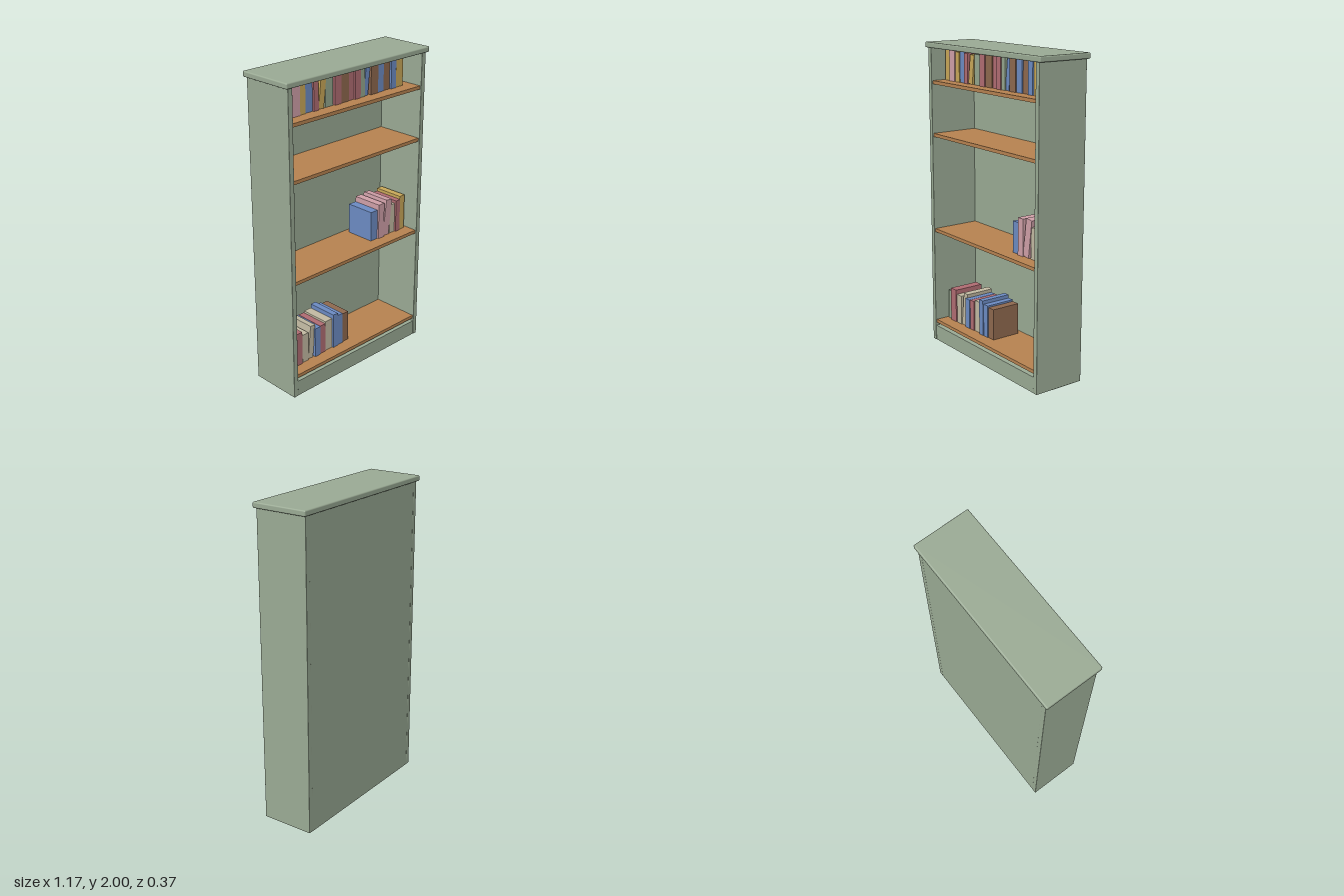
import * as THREE from 'three';
import { RoundedBoxGeometry } from 'three/addons/geometries/RoundedBoxGeometry.js';

const mat = (name, color) => {
  const m = new THREE.MeshStandardMaterial({ color });
  m.name = name;
  return m;
};

export function createModel() {
  const root = new THREE.Group();
  root.name = 'bookcase';
  const sage = mat('sage paint', 0x9aaa94);
  const wood = mat('oak', 0xb68250);
  const cloth = {
    blue: mat('blue cloth', 0x6c8bc2),
    red: mat('red cloth', 0xb06c72),
    pink: mat('pink cloth', 0xcfa0a8),
    yellow: mat('yellow cloth', 0xc8a758),
    beige: mat('beige cloth', 0xc2baa2),
    brown: mat('brown cloth', 0x8e684e),
    green: mat('green cloth', 0x94a68e),
  };

  // Box given by its limits on each axis; r > 0 rounds the edges
  const box = (name, material, [x0, x1], [y0, y1], [z0, z1], r = 0) => {
    const size = [x1 - x0, y1 - y0, z1 - z0];
    const geo = r ? new RoundedBoxGeometry(...size, 2, r) : new THREE.BoxGeometry(...size);
    const mesh = new THREE.Mesh(geo, material);
    mesh.name = name;
    mesh.position.set((x0 + x1) / 2, (y0 + y1) / 2, (z0 + z1) / 2);
    root.add(mesh);
  };

  // Painted carcass
  box('leftSide', sage, [0.53, 0.563], [0, 1.966], [-0.172, 0.172], 0.003);
  box('rightSide', sage, [-0.563, -0.53], [0, 1.966], [-0.172, 0.172], 0.003);
  box('backPanel', sage, [-0.532, 0.532], [0.05, 1.966], [-0.171, -0.157]);
  box('plinth', sage, [-0.532, 0.532], [0, 0.102], [-0.171, 0.168]);
  box('topBoard', sage, [-0.583, 0.583], [1.965, 2], [-0.184, 0.184], 0.008);

  // Oak shelves, listed by the height of their upper face
  const shelfTops = [0.143, 0.781, 1.418, 1.758];
  for (const y of shelfTops) box('shelf', wood, [-0.53, 0.53], [y - 0.022, y], [-0.157, 0.163]);

  // Rows of books: [colour, left edge, right edge, height, sideways lean of the top]
  const rows = [
    ['lowerBooks', shelfTops[0], [
      ['green', -0.515, -0.478, 0.197], ['red', -0.473, -0.412, 0.224], ['beige', -0.407, -0.357, 0.196],
      ['beige', -0.355, -0.315, 0.225, 0.022], ['blue', -0.303, -0.257, 0.2], ['red', -0.254, -0.211, 0.2],
      ['beige', -0.206, -0.148, 0.21], ['blue', -0.145, -0.105, 0.237], ['blue', -0.102, -0.059, 0.215],
      ['brown', -0.056, -0.002, 0.205],
    ]],
    ['middleBooks', shelfTops[1], [
      ['blue', 0.201, 0.26, 0.198], ['pink', 0.262, 0.312, 0.234], ['pink', 0.307, 0.36, 0.24, 0.03],
      ['beige', 0.376, 0.421, 0.197], ['red', 0.423, 0.461, 0.215], ['yellow', 0.463, 0.508, 0.234],
    ]],
    ['upperBooks', shelfTops[3], [
      ['yellow', -0.515, -0.458, 0.206], ['pink', -0.455, -0.397, 0.2], ['yellow', -0.394, -0.352, 0.188],
      ['blue', -0.349, -0.294, 0.194], ['red', -0.292, -0.254, 0.188], ['yellow', -0.251, -0.21, 0.18, 0.02],
      ['green', -0.193, -0.13, 0.187], ['red', -0.124, -0.074, 0.209], ['brown', -0.071, -0.005, 0.209],
      ['red', -0.002, 0.04, 0.209], ['red', 0.042, 0.087, 0.209], ['green', 0.09, 0.127, 0.209],
      ['blue', 0.124, 0.158, 0.206, 0.02], ['brown', 0.175, 0.236, 0.209], ['blue', 0.238, 0.289, 0.209],
      ['brown', 0.294, 0.347, 0.209], ['blue', 0.352, 0.394, 0.2], ['yellow', 0.4, 0.461, 0.209],
    ]],
  ];
  for (const [name, shelfY, books] of rows) {
    const row = new THREE.Group();
    row.name = name;
    books.forEach(([colour, x0, x1, h, lean = 0], i) => {
      const w = x1 - x0;
      const front = 0.08 + 0.005 * ((i * 2) % 3 - 1);
      // The pivot is the lower right edge, on which a leaning book rests
      const geo = new THREE.BoxGeometry(w, h, front + 0.122).translate(-w / 2, h / 2, (front - 0.122) / 2);
      const book = new THREE.Mesh(geo, cloth[colour]);
      book.name = colour + 'Book';
      book.position.set(x1, shelfY, 0);
      book.rotation.z = -Math.asin(lean / h);
      row.add(book);
    });
    root.add(row);
  }
  return root;
}
